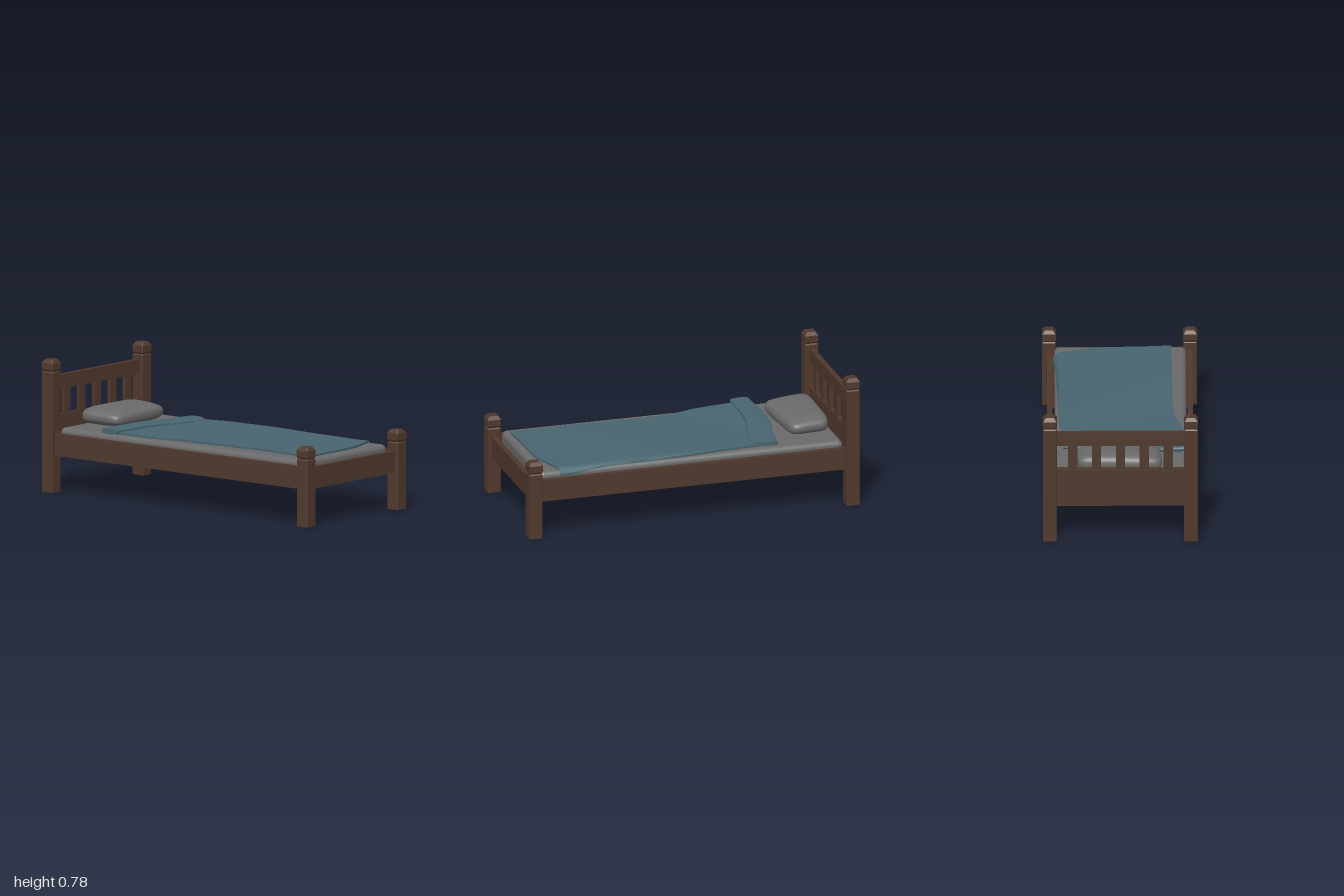
import * as THREE from 'three';
import { mergeVertices, toCreasedNormals } from 'three/addons/utils/BufferGeometryUtils.js';
import { RoundedBoxGeometry } from 'three/addons/geometries/RoundedBoxGeometry.js';

const { lerp, smoothstep } = THREE.MathUtils;

export function createModel() {
  const bed = new THREE.Group();
  bed.name = 'bed';
  const material = (name, color) => {
    const m = new THREE.MeshStandardMaterial({ color });
    m.name = name;
    return m;
  };
  const wood = material('dark wood', 0x50392d);
  const linen = material('grey linen', 0x6a6a6a);
  const wool = material('blue blanket', 0x48656f);

  const add = (name, geometry, mat, x = 0, y = 0, z = 0) => {
    const mesh = new THREE.Mesh(geometry, mat);
    mesh.name = name;
    mesh.position.set(x, y, z);
    bed.add(mesh);
  };
  // Plank given by centre x, z and its bottom and top heights
  const plank = (name, w, d, y0, y1, x, z) =>
    add(name, new THREE.BoxGeometry(w, y1 - y0, d), wood, x, (y0 + y1) / 2, z);

  // Move every vertex of a geometry by a rule, then rebuild its normals
  const reshape = (geometry, rule, crease) => {
    const p = geometry.attributes.position;
    const v = new THREE.Vector3();
    for (let i = 0; i < p.count; i++) {
      rule(v.fromBufferAttribute(p, i));
      p.setXYZ(i, v.x, v.y, v.z);
    }
    geometry.deleteAttribute('normal');
    geometry.deleteAttribute('uv');
    const welded = mergeVertices(geometry, 1e-5);
    welded.computeVertexNormals();
    return crease ? toCreasedNormals(welded, crease) : welded;
  };

  // Square post with chamfered corners, a groove and a bevelled cap
  const postGeometry = (h) => {
    const profile = [
      [0, 0], [0.04, 0], [0.04, h - 0.076], [0.035, h - 0.069], [0.035, h - 0.067],
      [0.041, h - 0.059], [0.041, h - 0.02], [0.027, h], [0, h],
    ].map(([r, y]) => new THREE.Vector2(r, y));
    const lathe = new THREE.LatheGeometry(profile, 8, Math.PI / 8);
    return reshape(lathe, (v) => {
      const r = Math.hypot(v.x, v.z);
      const inner = Math.max(0, r - 0.004);
      const wide = Math.abs(v.x) > Math.abs(v.z);
      v.x = Math.sign(v.x) * (wide ? r : inner);
      v.z = Math.sign(v.z) * (wide ? inner : r);
    }, 0.3);
  };

  // Frame
  for (const side of [-1, 1]) {
    const label = side > 0 ? 'left' : 'right';
    add(label + 'HeadPost', postGeometry(0.776), wood, side * 0.408, 0, -0.959);
    add(label + 'FootPost', postGeometry(0.465), wood, side * 0.408, 0, 0.959);
    plank(label + 'SideRail', 0.03, 1.85, 0.215, 0.345, side * 0.406, 0);
  }
  plank('footBoard', 0.75, 0.03, 0.215, 0.342, 0, 0.959);
  plank('headPanel', 0.75, 0.03, 0.215, 0.446, 0, -0.959);
  plank('headTopRail', 0.75, 0.03, 0.594, 0.677, 0, -0.959);
  for (let i = -2; i <= 2; i++) {
    plank('headSpindle', 0.054, 0.022, 0.44, 0.6, i * 0.138, -0.959);
  }
  for (let i = 0; i < 8; i++) {
    plank('bedSlat', 0.79, 0.075, 0.245, 0.283, 0, -0.88 + i * 0.25);
  }

  // Mattress
  add('mattress', new RoundedBoxGeometry(0.762, 0.094, 1.836, 4, 0.03), linen, -0.003, 0.329, -0.002);

  // Pillow: a squared-off sphere fitted to a slightly skewed outline
  const power = (a, e) => Math.sign(a) * Math.abs(a) ** e;
  const pillow = reshape(new THREE.SphereGeometry(1, 64, 32), (v) => {
    const ring = Math.hypot(v.x, v.z) || 1;
    const spread = ring === 1 && Math.abs(v.y) > 0.99 ? 0 : ring ** 0.45;
    const a = (1 + spread * power(v.x / ring, 0.32)) / 2;
    const b = (1 + spread * power(v.z / ring, 0.32)) / 2;
    const height = lerp(0.056, 0.046, b * b);
    v.set(
      lerp(lerp(-0.247, 0.247, a), lerp(-0.222, 0.258, a), b),
      0.374 + height * (1 + power(v.y, 0.8)),
      lerp(lerp(-0.898, -0.885, a), lerp(-0.605, -0.642, a), b),
    );
  });
  add('pillow', pillow, linen);

  // Cloth slab spanning four edge curves, each a short list of [x, z]
  const curve = (pts) => new THREE.SplineCurve(pts.map(([x, z]) => new THREE.Vector2(x, z)));
  const cloth = (head, foot, right, left, heightRule) => {
    const [h, f, r, l] = [head, foot, right, left].map(curve);
    return reshape(new THREE.BoxGeometry(1, 1, 1, 32, 2, 40), (v) => {
      const a = v.x + 0.5, b = v.z + 0.5;
      const H = h.getPoint(a), F = f.getPoint(a), R = r.getPoint(b), L = l.getPoint(b);
      const H0 = h.getPoint(0), H1 = h.getPoint(1), F0 = f.getPoint(0), F1 = f.getPoint(1);
      const blend = (k) => lerp(H[k], F[k], b) + lerp(R[k], L[k], a)
        - lerp(lerp(H0[k], H1[k], a), lerp(F0[k], F1[k], a), b);
      const x = blend('x'), z = blend('y');
      v.set(x, heightRule(x, z, a, b, v.y), z);
    }, 0.9);
  };

  // Blanket, drooping over the left edge of the mattress
  const blanket = cloth(
    [[-0.385, -0.52], [-0.1, -0.52], [0.32, -0.46]],
    [[-0.3, 0.885], [-0.12, 0.875], [0.12, 0.865], [0.25, 0.83], [0.385, 0.785]],
    [[-0.385, -0.52], [-0.36, -0.25], [-0.312, -0.05], [-0.302, 0.4], [-0.3, 0.885]],
    [[0.32, -0.46], [0.352, -0.15], [0.362, 0.2], [0.368, 0.5], [0.385, 0.785]],
    (x, z, a, b, t) => 0.385 + 0.012 * t + 0.003 * Math.sin(5 * z + 4 * x)
      - 0.03 * smoothstep(x, 0.345, 0.385),
  );
  add('blanket', blanket, wool);

  // Turned-back fold at the head end, with soft rounded long edges
  const fold = cloth(
    [[-0.4, -0.585], [-0.2, -0.598], [0, -0.595], [0.15, -0.56], [0.33, -0.54]],
    [[-0.4, -0.475], [-0.15, -0.473], [0, -0.45], [0.15, -0.41], [0.3, -0.395]],
    [[-0.4, -0.585], [-0.402, -0.53], [-0.4, -0.475]],
    [[0.33, -0.54], [0.328, -0.46], [0.3, -0.395]],
    (x, z, a, b, t) => lerp(0.396, 0.387, a)
      + t * lerp(0.034, 0.026, a) * (0.35 + 0.65 * Math.max(0, Math.sin(Math.PI * b)) ** 0.4),
  );
  add('blanketFold', fold, wool);

  return bed;
}
